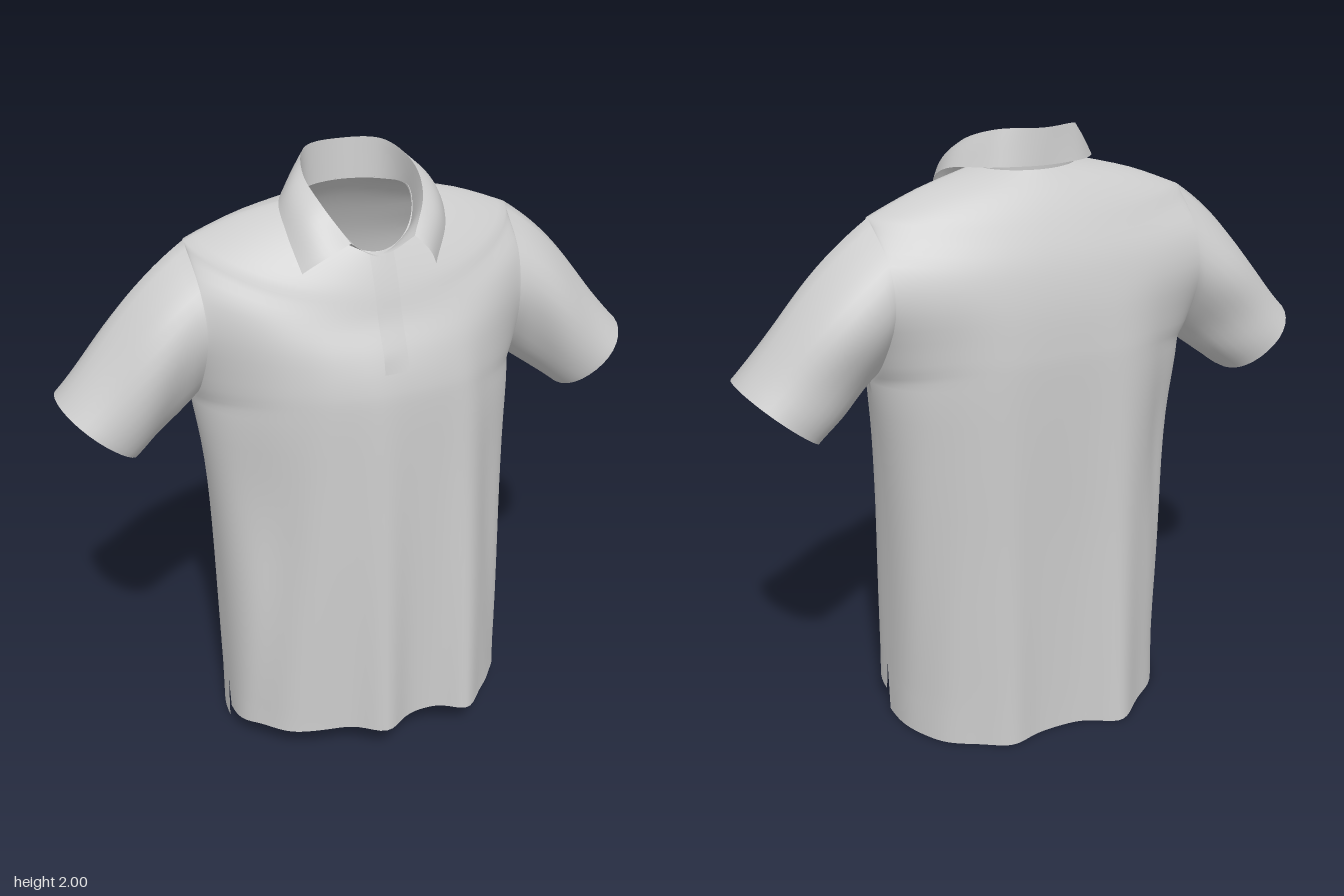
import * as THREE from 'three';
import { mergeGeometries, mergeVertices } from 'three/addons/utils/BufferGeometryUtils.js';

const V = (x, y, z) => new THREE.Vector3(x, y, z);
const material = new THREE.MeshStandardMaterial({ color: 0xcccccc, side: THREE.DoubleSide });

// Surface from fn(u, v) -> Vector3, with u and v in 0..1
function grid(fn, nu, nv, flip = false) {
  const pos = [], idx = [];
  for (let j = 0; j <= nv; j++)
    for (let i = 0; i <= nu; i++) pos.push(...fn(i / nu, j / nv).toArray());
  for (let j = 0; j < nv; j++)
    for (let i = 0; i < nu; i++) {
      const a = j * (nu + 1) + i, b = a + 1, c = a + nu + 1, d = c + 1;
      if (flip) idx.push(a, d, b, a, c, d);
      else idx.push(a, b, d, a, d, c);
    }
  const g = new THREE.BufferGeometry();
  g.setAttribute('position', new THREE.Float32BufferAttribute(pos, 3));
  g.setIndex(idx);
  return g;
}

// Weld the pieces so that shading runs smoothly across the seams
function weld(name, ...parts) {
  const g = mergeVertices(mergeGeometries(parts), 1e-4);
  g.computeVertexNormals();
  const mesh = new THREE.Mesh(g, material);
  mesh.name = name;
  return mesh;
}

// Panel rows, hem to neck: centre y, centre z, edge x, edge y, edge z, roundness n, power m
const FRONT = [
  [0.11, 0.335, 0.49, 0.07, 0.037, 2.7, 0.38],
  [0.21, 0.335, 0.49, 0.18, 0.02, 2.7, 0.38],
  [0.65, 0.335, 0.493, 0.65, -0.01, 2.6, 0.4],
  [1.0, 0.333, 0.508, 1.0, -0.03, 2.5, 0.46],
  [1.27, 0.33, 0.54, 1.25, -0.06, 2.6, 0.64],
  [1.37, 0.32, 0.53, 1.33, 0.04, 2.7, 0.9],
  [1.46, 0.293, 0.515, 1.5, 0.108, 2.7, 1.15],
  [1.55, 0.25, 0.52, 1.65, 0.065, 2.5, 1],
  [1.63, 0.222, 0.53, 1.762, -0.08, 2.2, 0.65],
  [1.69, 0.197, 0.36, 1.828, -0.065, 2, 0.52],
  [1.745, 0.17, 0.17, 1.875, -0.03, 2, 0.5],
];
const BACK = [
  [0, -0.335, 0.49, 0.005, 0.01, 2.9, 0.36],
  [0.18, -0.335, 0.49, 0.18, 0.02, 2.9, 0.36],
  [0.65, -0.34, 0.493, 0.65, -0.01, 2.9, 0.37],
  [1.0, -0.35, 0.508, 1.0, -0.03, 2.9, 0.42],
  [1.27, -0.357, 0.54, 1.25, -0.06, 2.9, 0.58],
  [1.37, -0.355, 0.535, 1.33, -0.165, 2.8, 0.8],
  [1.5, -0.343, 0.52, 1.5, -0.255, 2.6, 1.1],
  [1.62, -0.314, 0.52, 1.65, -0.22, 2.4, 1],
  [1.73, -0.264, 0.53, 1.762, -0.08, 2.2, 0.65],
  [1.81, -0.214, 0.36, 1.828, -0.065, 2, 0.52],
  [1.87, -0.16, 0.17, 1.875, -0.03, 2, 0.5],
];
// Slit top, armpit and shoulder point split the edge into separate curves
const BREAKS = [0, 1, 4, 8, 10];

function row(keys, k) {
  const i = Math.min(Math.floor(k), 9), t = k - i;
  const lo = Math.max(...BREAKS.filter(b => b <= i)), hi = Math.min(...BREAKS.filter(b => b > i));
  return keys[0].map((_, c) => {
    const edge = c >= 2 && c <= 4;
    const p = j => keys[THREE.MathUtils.clamp(j, edge ? lo : 0, edge ? hi : 10)][c];
    const [a, b, d, e] = [p(i - 1), p(i), p(i + 1), p(i + 2)];
    return b + 0.5 * t * (d - a + t * (2 * a - 5 * b + 4 * d - e + t * (3 * (b - d) + e - a)));
  });
}

// Folds hanging from the chest: x at the hem, depth, width, sideways drift with height
const FOLDS = new Map([
  [FRONT, [[-0.04, 0.07, 0.075, 0], [0.27, 0.074, 0.07, 0], [-0.45, -0.045, 0.06, 0.13], [0.46, -0.035, 0.05, -0.1]]],
  [BACK, [[-0.2, -0.074, 0.09, 0], [0.2, -0.037, 0.08, 0], [-0.47, 0.03, 0.05, 0.08], [0.47, 0.03, 0.05, -0.08]]],
]);
// Hollows at waist height beside the side seams: x, depth
const HOLLOWS = new Map([
  [FRONT, [[-0.42, -0.04], [0.43, -0.02]]],
  [BACK, [[-0.42, 0.045]]],
]);

// Point on a panel; s runs -1..1 across the body, k is the row
function panel(keys, s, k) {
  const [cy, cz, ex, ey, ez, n, m] = row(keys, k);
  const q = Math.abs(s) > 0.9999 ? 1 : Math.abs(Math.sin(s * Math.PI / 2));
  const f = q === 1 ? 0 : Math.pow(1 - Math.pow(q, n), m);
  const x = ex * q * Math.sign(s), y = ey + (cy - ey) * Math.pow(f, 1.4);
  const fade = Math.pow(Math.max(0, 1 - y / 1.55), 1.1);
  let z = ez + (cz - ez) * f;
  for (const [fx, d, w, drift] of FOLDS.get(keys))
    z += d * fade * Math.sqrt(f) * Math.exp(-(((x - fx - drift * y) / w) ** 2));
  for (const [hx, d] of HOLLOWS.get(keys))
    z += d * Math.sqrt(f) * Math.exp(-(((x - hx) / 0.1) ** 2) - ((y - 0.95) / 0.32) ** 2);
  return V(x, y, z);
}

// Sleeve lofted from the armhole to a tilted cuff, rounder above than below
function sleeve(side) {
  const centre = V(0.845, 1.21, -0.068), up = V(0.115, 0.1, 0);
  return grid((t, u) => {
    const keys = u <= 0.5 ? FRONT : BACK;
    const p = panel(keys, 1, u <= 0.5 ? 4 + 8 * u : 4 + 8 * (1 - u));
    const phi = 2 * Math.PI * u, top = -Math.cos(phi), wide = Math.sin(phi);
    const depth = Math.sign(wide) * Math.pow(Math.abs(wide), top < 0 ? 0.7 : 1);
    const out = up.clone().multiplyScalar(top).add(V(0, 0, 0.175 * depth));
    p.lerp(centre.clone().add(out), t);
    const swell = 0.045 * Math.max(0, top) * (1 - t) + 0.008 * Math.abs(wide) * Math.sin(3 * phi + 5 * t);
    p.addScaledVector(out.normalize(), swell * Math.sin(Math.PI * t));
    p.x *= side;
    return p;
  }, 16, 32, side < 0);
}

const mirrorX = p => V(-p.x, p.y, p.z);
// Curve from the right front round the back to the left front
const around = (left, right = left.map(mirrorX)) =>
  new THREE.CatmullRomCurve3([...right.slice(1).reverse(), ...left]);

function collar() {
  const group = new THREE.Group();
  group.name = 'collar';
  const fold = [V(0, 1.995, -0.17), V(0.125, 1.993, -0.125), V(0.175, 1.952, 0), V(0.158, 1.888, 0.13), V(0.1, 1.795, 0.212)];
  const neck = [V(0, 1.868, -0.16), V(0.12, 1.868, -0.122), V(0.17, 1.868, -0.03), V(0.12, 1.78, 0.111), V(0.04, 1.745, 0.165)];
  const hemLeft = [V(0, 1.885, -0.178), V(0.15, 1.885, -0.145), V(0.248, 1.87, -0.02), V(0.238, 1.8, 0.12), V(0.17, 1.7, 0.215)];
  const hemRight = [hemLeft[0], mirrorX(hemLeft[1]), V(-0.245, 1.87, -0.02), V(-0.262, 1.815, 0.1), V(-0.25, 1.72, 0.21)];
  const foldCurve = around(fold), neckCurve = around(neck), hemCurve = around(hemLeft, hemRight);

  // Upright band inside the collar
  const stand = grid((u, v) => neckCurve.getPoint(u).lerp(foldCurve.getPoint(u), v), 64, 6);
  // Front of the band, dipping to the top of the placket
  const rim = around([V(0, 1.735, 0.188), V(0.04, 1.75, 0.195), V(0.1, 1.795, 0.212)]);
  const base = around([V(0, 1.738, 0.172), V(0.02, 1.74, 0.17), V(0.04, 1.745, 0.165)]);
  const throat = grid((u, v) => base.getPoint(u).lerp(rim.getPoint(u), v), 12, 3);
  // Turned-down leaf with two points
  const leaf = grid((u, v) => {
    const p = foldCurve.getPoint(u).lerp(hemCurve.getPoint(u), v);
    const arch = Math.sin(Math.PI * v);
    p.y += 0.008 * arch;
    p.x *= 1 + 0.03 * arch;
    p.z += 0.016 * arch * Math.abs(2 * u - 1);
    return p;
  }, 64, 8, true);
  group.add(weld('collarStand', stand), weld('collarThroat', throat), weld('collarLeaf', leaf));
  return group;
}

export function createModel() {
  const shirt = new THREE.Group();
  shirt.name = 'poloShirt';
  const sheet = (keys, flip) => grid((u, v) => panel(keys, 2 * u - 1, 10 * v), 72, 40, flip);
  shirt.add(weld('bodyAndSleeves', sheet(FRONT, false), sheet(BACK, true), sleeve(1), sleeve(-1)));

  // Placket lapping over the chest opening
  shirt.add(weld('placket', grid((u, v) => {
    const k = 5.4 + 4.6 * v, x = -0.03 + 0.08 * u;
    const s = Math.asin(x / row(FRONT, k)[2]) * 2 / Math.PI;
    const p = panel(FRONT, s, k);
    p.z += 0.008 * (1 - u) * Math.min(1, v * 8) + 0.001;
    return p;
  }, 6, 24)));

  shirt.add(collar());
  return shirt;
}
